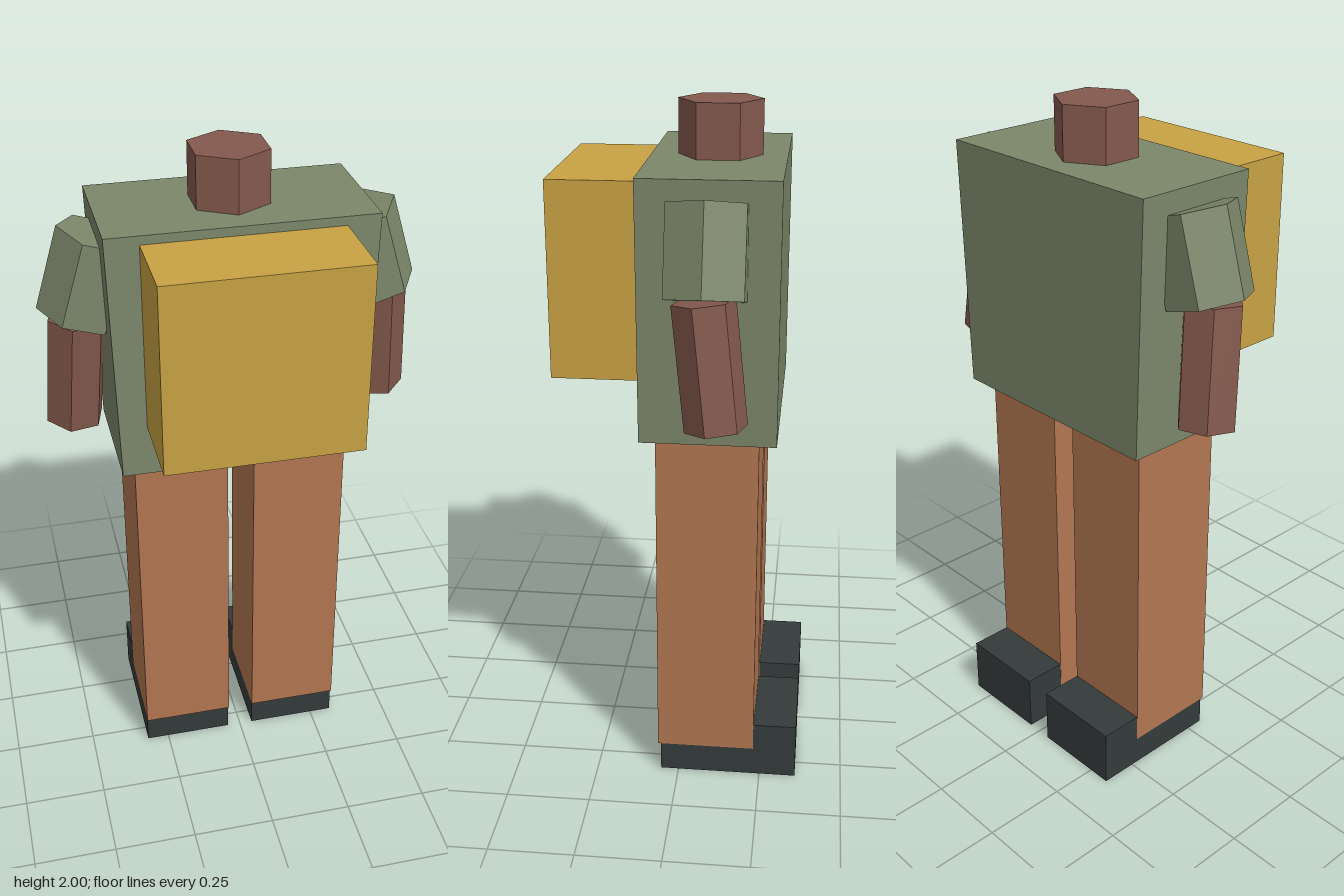
import * as THREE from 'three';

export function createModel() {
  const model = new THREE.Group();
  model.name = 'hiker';

  const material = (name, color) => {
    const m = new THREE.MeshStandardMaterial({ color });
    m.name = name;
    return m;
  };
  const shirt = material('olive shirt', 0x7c876a);
  const skin = material('brown skin', 0x84594d);
  const trousers = material('rust trousers', 0xb27651);
  const boots = material('dark boots', 0x343b3b);
  const canvas = material('mustard canvas', 0xc8a244);

  const add = (name, geometry, mat) => {
    const mesh = new THREE.Mesh(geometry, mat);
    mesh.name = name;
    model.add(mesh);
    return mesh;
  };

  // Box given by its lower and upper corners
  const box = (name, lo, hi, mat) => {
    const mesh = add(name, new THREE.BoxGeometry(hi[0] - lo[0], hi[1] - lo[1], hi[2] - lo[2]), mat);
    mesh.position.set((lo[0] + hi[0]) / 2, (lo[1] + hi[1]) / 2, (lo[2] + hi[2]) / 2);
    return mesh;
  };

  // Faceted six-sided limb running between two points, twisted about its axis
  const hexLimb = (name, bottom, top, radius, twist, mat) => {
    const a = new THREE.Vector3(...bottom);
    const b = new THREE.Vector3(...top);
    const geometry = new THREE.CylinderGeometry(radius, radius, a.distanceTo(b), 6, 1, false,
      THREE.MathUtils.degToRad(twist)).toNonIndexed();
    geometry.computeVertexNormals();
    const mesh = add(name, geometry, mat);
    mesh.position.copy(a).add(b).multiplyScalar(0.5);
    mesh.quaternion.setFromUnitVectors(new THREE.Vector3(0, 1, 0), b.sub(a).normalize());
    return mesh;
  };

  // Torso, narrowing slightly towards the waist
  const torso = box('torso', [-0.38, 1.108, -0.28], [0.38, 1.846, 0.105], shirt);
  const p = torso.geometry.attributes.position;
  for (let i = 0; i < p.count; i++) {
    if (p.getY(i) < 0) p.setX(i, p.getX(i) * 0.36 / 0.38);
  }
  torso.geometry = torso.geometry.toNonIndexed();
  torso.geometry.computeVertexNormals();

  // Neck and pack
  hexLimb('neck', [0, 1.83, -0.09], [0, 2, -0.09], 0.12, 0, skin);
  box('backpack', [-0.284, 1.263, 0.1], [0.284, 1.82, 0.36], canvas);

  // Mirrored arms and legs
  for (const [side, s] of [['left', 1], ['right', -1]]) {
    hexLimb(side + 'Sleeve', [s * 0.436, 1.542, -0.087], [s * 0.364, 1.78, -0.087], 0.122, 30, shirt);
    hexLimb(side + 'Forearm', [s * 0.465, 1.2, -0.12], [s * 0.442, 1.544, -0.083], 0.087, s * 15, skin);

    const x0 = Math.min(s * 0.04, s * 0.32);
    box(side + 'Leg', [x0, 0.09, -0.23], [x0 + 0.28, 1.104, 0.063], trousers);
    // Boot kept a hair inside the trouser leg's side faces
    box(side + 'Boot', [x0 + 0.001, 0, -0.36], [x0 + 0.279, 0.175, 0.054], boots);
  }

  return model;
}
